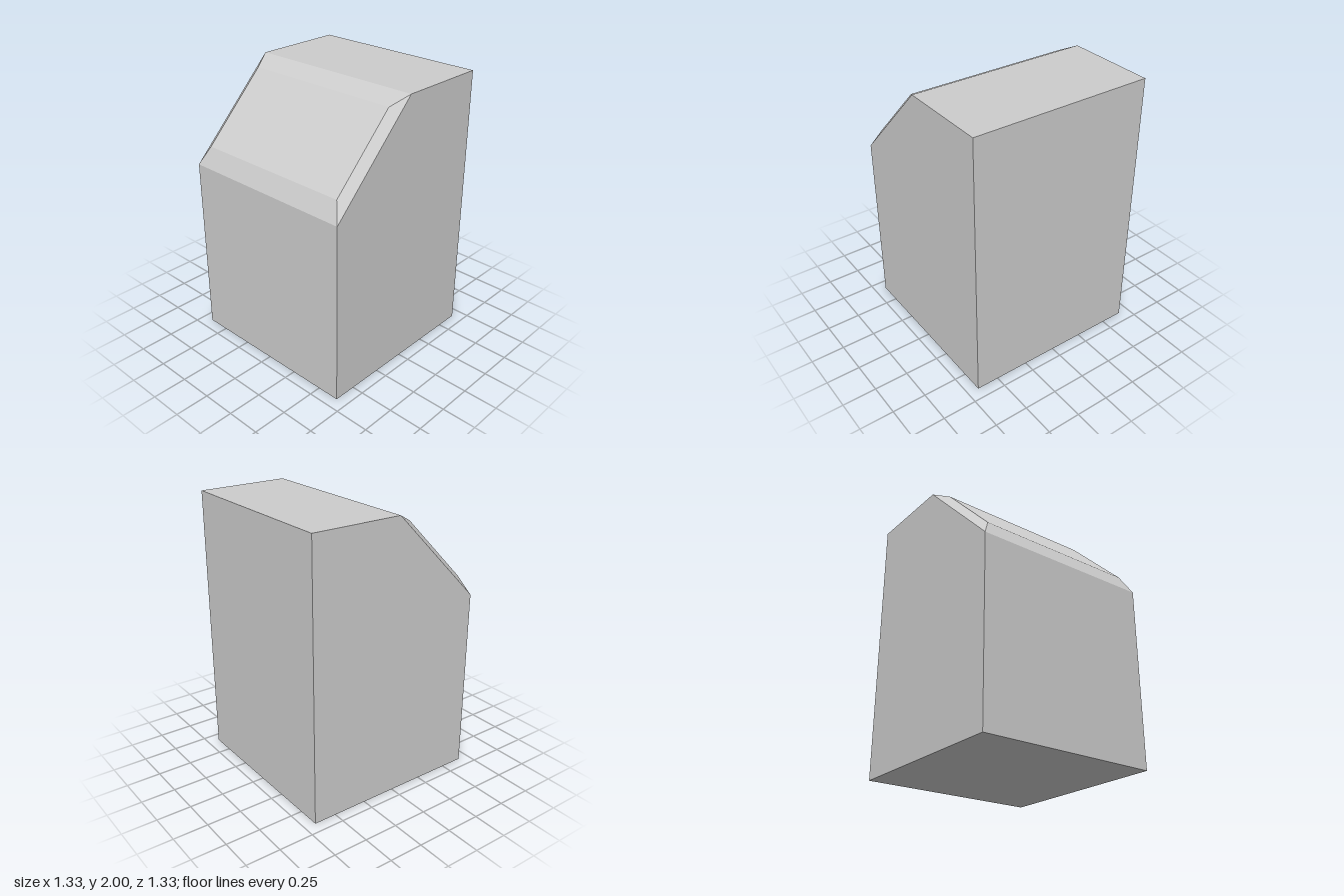
import * as THREE from 'three';

const H = 2 / 3; // half the width and depth of the block

export function createModel() {
  const group = new THREE.Group();
  const material = new THREE.MeshStandardMaterial({ color: 0xcccccc, flatShading: true });
  const add = (name, geometry) => {
    const mesh = new THREE.Mesh(geometry, material);
    mesh.name = name;
    group.add(mesh);
  };

  // Block with its upper front edge cut at 45 degrees: side profile (z, y) extruded across x
  const profile = new THREE.Shape(
    [[-H, 0], [H, 0], [H, 2 - H], [0, 2], [-H, 2]].map(([z, y]) => new THREE.Vector2(z, y))
  );
  const body = new THREE.ExtrudeGeometry(profile, { depth: 2 * H, bevelEnabled: false });
  body.translate(0, 0, -H).rotateY(-Math.PI / 2);
  add('body', body);

  // Raised panel on the slope: a box whose outer face is inset to form bevelled edges
  const panel = new THREE.BoxGeometry(1, 1, 1);
  const p = panel.attributes.position;
  for (let i = 0; i < p.count; i++) {
    const raised = p.getZ(i) > 0;
    const upper = p.getY(i) > 0;
    const x = Math.sign(p.getX(i)) * (raised ? 0.6 : H);
    const z = raised ? (upper ? 0.2 * H : 0.9 * H) : (upper ? 0 : H);
    p.setXYZ(i, x, 2 - z + (raised ? 0.1 * H : 0), z);
  }
  panel.computeVertexNormals();
  add('slopedPanel', panel);

  return group;
}
